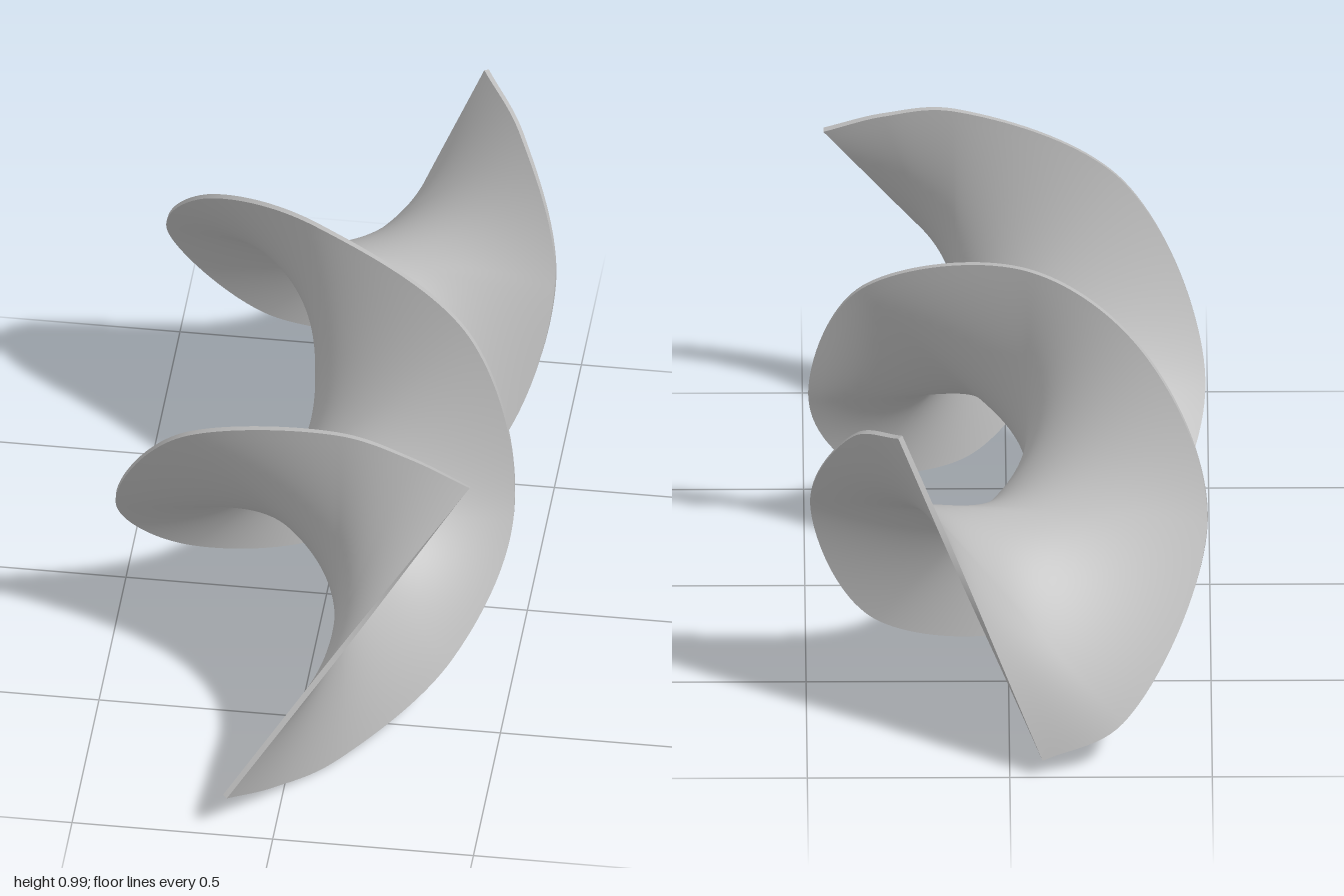
import * as THREE from 'three';

// Matching points along the two rims of the twisted ribbon, front to back
const RIM_A = [
  [0.45, 0.91, 0.69], [0.30, 0.965, 0.665], [0.12, 0.995, 0.63], [-0.29, 0.86, 0.51], [-0.49, 0.44, 0.26],
  [-0.34, 0.12, -0.01], [-0.05, 0.005, -0.22], [0.33, 0.13, -0.40], [0.49, 0.56, -0.59],
  [0.38, 0.86, -0.80], [0.27, 0.935, -0.955],
];
const RIM_B = [
  [-0.12, 0.12, 0.995], [-0.02, 0.04, 0.83], [0.11, 0.005, 0.66], [0.36, 0.13, 0.385], [0.49, 0.44, 0.17],
  [0.36, 0.84, 0], [-0.05, 0.995, -0.20], [-0.34, 0.88, -0.43], [-0.49, 0.56, -0.70],
  [-0.28, 0.13, -0.95], [-0.08, 0.05, -0.995],
];
const HALF_THICKNESS = 0.007;

const rim = (pts) => new THREE.CatmullRomCurve3(pts.map((p) => new THREE.Vector3(...p)));
const rimA = rim(RIM_A);
const rimB = rim(RIM_B);

// Straight ruling from rim A to rim B at position u along the ribbon
const onRibbon = (u, v) => rimA.getPoint(u).lerp(rimB.getPoint(u), v);

// Point on the ribbon moved along its normal by side * half thickness
function skin(u, v, side) {
  const e = 0.002;
  const along = onRibbon(Math.min(1, u + e), v).sub(onRibbon(Math.max(0, u - e), v));
  const across = onRibbon(u, 1).sub(onRibbon(u, 0));
  const normal = along.cross(across).normalize();
  return onRibbon(u, v).addScaledVector(normal, side * HALF_THICKNESS);
}

// Smooth grid surface from a function of two parameters
function sheet(f, nu, nv) {
  const positions = [];
  const index = [];
  for (let i = 0; i <= nu; i++) {
    for (let j = 0; j <= nv; j++) positions.push(...f(i / nu, j / nv).toArray());
  }
  for (let i = 0; i < nu; i++) {
    for (let j = 0; j < nv; j++) {
      const a = i * (nv + 1) + j;
      const b = a + nv + 1;
      index.push(a, b, b + 1, a, b + 1, a + 1);
    }
  }
  const g = new THREE.BufferGeometry();
  g.setAttribute('position', new THREE.Float32BufferAttribute(positions, 3));
  g.setIndex(index);
  g.computeVertexNormals();
  return g;
}

export function createModel() {
  const model = new THREE.Group();
  model.name = 'twistedRibbon';
  const grey = new THREE.MeshStandardMaterial({ color: 0xbcbcbc });
  grey.name = 'grey';

  const add = (name, f, nu, nv) => {
    const mesh = new THREE.Mesh(sheet(f, nu, nv), grey);
    mesh.name = name;
    model.add(mesh);
  };

  // Two broad faces
  add('upperFace', (u, v) => skin(u, v, 1), 200, 32);
  add('lowerFace', (u, v) => skin(u, 1 - v, -1), 200, 32);
  // Thin rims along both sides
  add('rimA', (u, w) => skin(u, 0, 2 * w - 1), 200, 1);
  add('rimB', (u, w) => skin(u, 1, 1 - 2 * w), 200, 1);
  // Thin closing ends
  add('frontEnd', (v, w) => skin(0, v, 1 - 2 * w), 32, 1);
  add('backEnd', (v, w) => skin(1, v, 2 * w - 1), 32, 1);

  return model;
}
